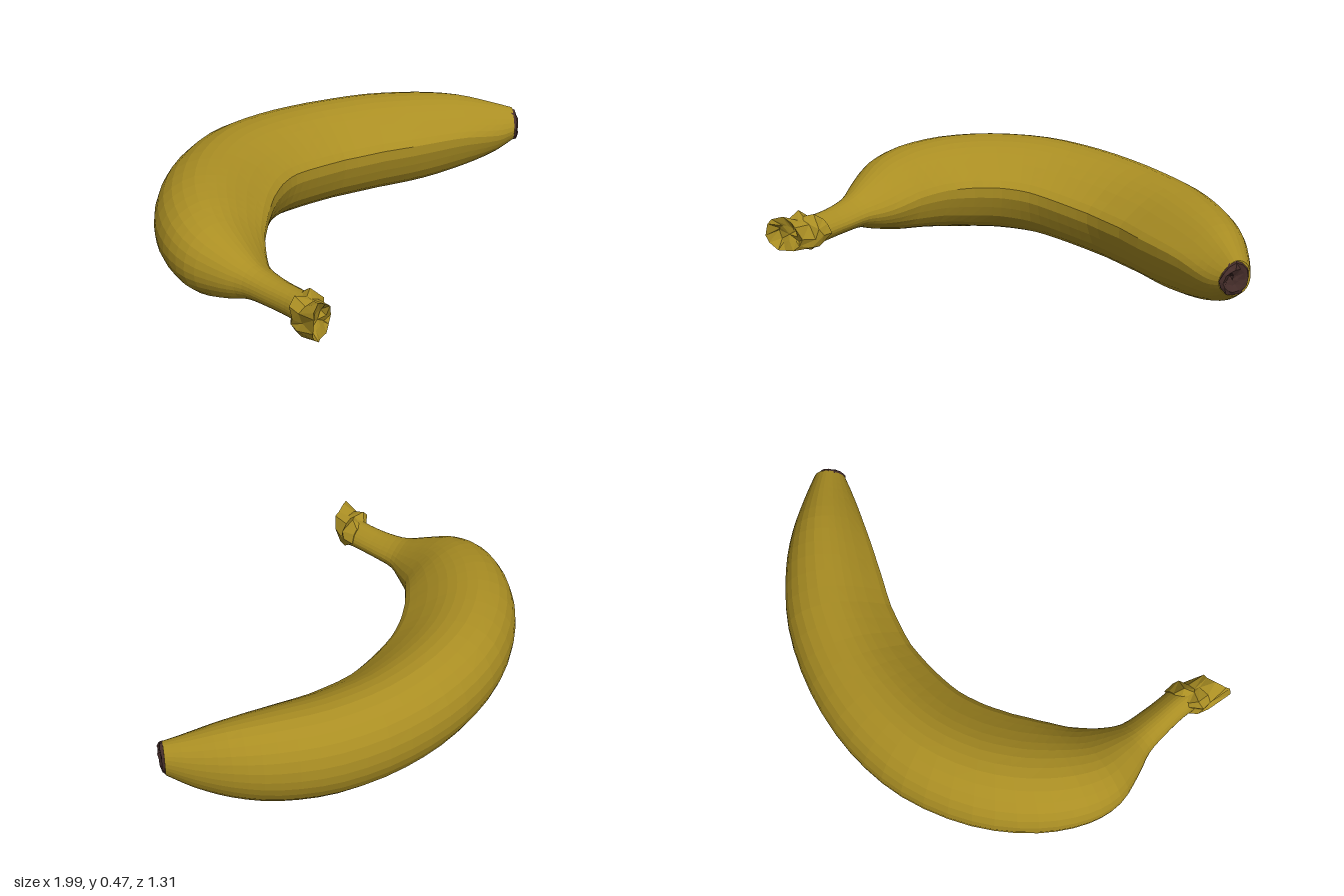
import * as THREE from 'three';

// Cross-sections: u runs from the outer curve (0) to the inner curve (1), v from bottom (-1) to top (1)
const ROUND = [
  [0, 0], [0.04, 0.45], [0.16, 0.8], [0.35, 0.99], [0.53, 0.97], [0.71, 0.76], [0.9, 0.4],
  [1, -0.05], [0.95, -0.45], [0.82, -0.76], [0.62, -0.96], [0.42, -1], [0.18, -0.8], [0.04, -0.4],
];
// Plump middle: a ridge on the upper inner side, a slant down to the inner edge, then a face leaning back
const RIDGED = [
  [0, 0], [0.04, 0.45], [0.16, 0.8], [0.35, 0.99], [0.53, 0.96], [0.69, 0.81], [0.88, 0.52],
  [1, 0.27], [0.97, -0.2], [0.86, -0.65], [0.64, -0.94], [0.42, -1], [0.18, -0.8], [0.04, -0.4],
];

// Stations from stem to tip: outer x, outer z, inner x, inner z, bottom y, top y
const BODY = [
  [-0.935, 0.52, -0.80, 0.53, 0.17, 0.295],
  [-0.92, 0.44, -0.79, 0.44, 0.17, 0.29],
  [-0.915, 0.32, -0.775, 0.34, 0.168, 0.29],
  [-0.92, 0.22, -0.75, 0.23, 0.16, 0.305],
  [-0.95, 0.12, -0.69, 0.145, 0.125, 0.345],
  [-0.98, -0.03, -0.60, 0.05, 0.09, 0.405],
  [-0.945, -0.18, -0.50, -0.02, 0.08, 0.445],
  [-0.82, -0.36, -0.40, -0.08, 0.067, 0.468],
  [-0.60, -0.53, -0.29, -0.13, 0.06, 0.475],
  [-0.30, -0.64, -0.17, -0.16, 0.045, 0.47],
  [0, -0.65, -0.03, -0.16, 0.022, 0.453],
  [0.30, -0.58, 0.13, -0.14, 0.005, 0.435],
  [0.58, -0.44, 0.32, -0.07, 0.002, 0.425],
  [0.77, -0.27, 0.50, 0.03, 0.02, 0.415],
  [0.88, -0.12, 0.68, 0.125, 0.065, 0.395],
  [0.95, 0.02, 0.82, 0.195, 0.125, 0.36],
  [0.995, 0.13, 0.90, 0.228, 0.185, 0.335],
];
// Torn stem end, from its hollow face back to the neck
const CROWN = [
  [-0.95, 0.605, -0.87, 0.59, 0.205, 0.275],
  [-0.995, 0.64, -0.84, 0.605, 0.16, 0.325],
  [-0.965, 0.555, -0.815, 0.55, 0.155, 0.305],
  [-0.965, 0.51, -0.79, 0.525, 0.145, 0.315],
  [-0.925, 0.47, -0.79, 0.475, 0.17, 0.29],
];
const TIP = [
  [0.99, 0.13, 0.897, 0.226, 0.187, 0.333],
  [0.993, 0.146, 0.906, 0.238, 0.191, 0.33],
  [0.982, 0.16, 0.922, 0.235, 0.21, 0.305],
  [0.96, 0.172, 0.926, 0.212, 0.235, 0.28],
];

function seeded(seed) {
  return () => (seed = (seed * 16807) % 2147483647) / 2147483647;
}

// Closed smooth outline sampled from section points
function outline(section, sides) {
  const curve = new THREE.CatmullRomCurve3(section.map(([u, v]) => new THREE.Vector3(u, v, 0)), true);
  return Array.from({ length: sides }, (_, j) => curve.getPoint(j / sides));
}

// Smoothly insert extra stations between the given ones
function refine(stations, steps) {
  const part = (k) => new THREE.CatmullRomCurve3(
    stations.map((s) => new THREE.Vector3(s[k], s[k + 1], s[k + 2])));
  const a = part(0), b = part(3), n = (stations.length - 1) * steps;
  return Array.from({ length: n + 1 }, (_, i) => [...a.getPoint(i / n), ...b.getPoint(i / n)]);
}

// Skin the stations, closing both ends; jitter roughens each vertex
function loft(stations, sides, jitter = 0, seed = 7) {
  const random = seeded(seed), positions = [], index = [];
  const round = outline(ROUND, sides), ridged = outline(RIDGED, sides);
  for (const [ox, oz, ix, iz, y0, y1] of stations) {
    // Thin rings are round, thick ones ridged
    const ridge = THREE.MathUtils.smoothstep(y1 - y0, 0.15, 0.38);
    for (let j = 0; j < sides; j++) {
      const p = round[j].clone().lerp(ridged[j], ridge);
      const r = () => (random() - 0.5) * jitter;
      positions.push(ox + (ix - ox) * p.x + r(), (y0 + y1) / 2 + p.y * (y1 - y0) / 2 + r(), oz + (iz - oz) * p.x + r());
    }
  }
  const last = stations.length - 1;
  for (let i = 0; i < last; i++) {
    for (let j = 0; j < sides; j++) {
      const a = i * sides + j, b = i * sides + (j + 1) % sides, c = a + sides, d = b + sides;
      index.push(a, b, c, b, d, c);
    }
  }
  for (const i of [0, last]) {
    const [ox, oz, ix, iz, y0, y1] = stations[i];
    const centre = positions.length / 3;
    positions.push((ox + ix) / 2, (y0 + y1) / 2, (oz + iz) / 2);
    for (let j = 0; j < sides; j++) {
      const a = i * sides + j, b = i * sides + (j + 1) % sides;
      index.push(centre, ...(i === 0 ? [b, a] : [a, b]));
    }
  }
  const geometry = new THREE.BufferGeometry();
  geometry.setAttribute('position', new THREE.Float32BufferAttribute(positions, 3));
  geometry.setIndex(index);
  geometry.computeVertexNormals();
  return geometry;
}

export function createModel() {
  const peel = new THREE.MeshStandardMaterial({ color: 0xaa8e23, flatShading: true });
  peel.name = 'yellow peel';
  const dark = new THREE.MeshStandardMaterial({ color: 0x452d2a, flatShading: true });
  dark.name = 'dark brown';

  const group = new THREE.Group();
  group.name = 'banana';
  const add = (name, geometry, material) => {
    const mesh = new THREE.Mesh(geometry, material);
    mesh.name = name;
    group.add(mesh);
  };

  // Curved fruit with its narrow stem
  add('body', loft(refine(BODY, 3), 28), peel);
  // Torn end of the stem
  add('stemCrown', loft(CROWN, 12, 0.026), peel);
  // Dry blossom end
  add('blossomTip', loft(TIP, 12, 0.008, 23), dark);
  return group;
}
